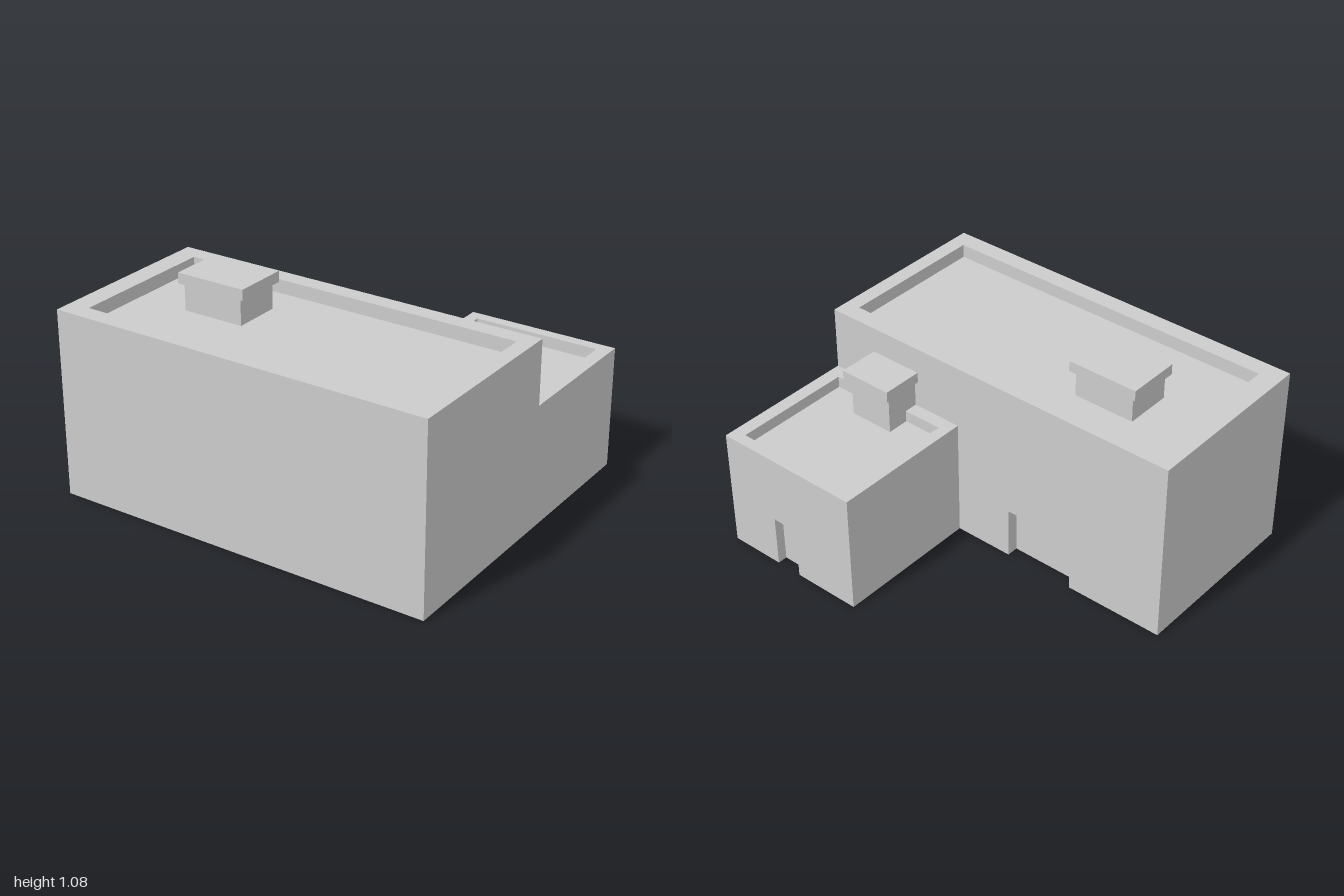
import * as THREE from 'three';

const material = new THREE.MeshStandardMaterial({ color: 0xcccccc, side: THREE.DoubleSide, flatShading: true });

// For each facing: the world axes an outline is drawn in, and how it is turned into place.
const FACINGS = {
  '+z': { flipU: 1, flipV: 1, turn: (g, d) => g.translate(0, 0, d) },
  '-z': { flipU: -1, flipV: 1, turn: (g, d) => g.rotateY(Math.PI).translate(0, 0, d) },
  '+x': { flipU: -1, flipV: 1, turn: (g, d) => g.rotateY(Math.PI / 2).translate(d, 0, 0) },
  '-x': { flipU: 1, flipV: 1, turn: (g, d) => g.rotateY(-Math.PI / 2).translate(d, 0, 0) },
  '+y': { flipU: 1, flipV: -1, turn: (g, d) => g.rotateX(-Math.PI / 2).translate(0, d, 0) },
  '-y': { flipU: 1, flipV: 1, turn: (g, d) => g.rotateX(Math.PI / 2).translate(0, d, 0) },
};

// Flat sheet; outline in world (x,y), (z,y) or (x,z) depending on the facing.
function sheet(parent, name, facing, d, outline, hole) {
  const f = FACINGS[facing];
  const pts = (list) => list.map(([u, v]) => new THREE.Vector2(u * f.flipU, v * f.flipV));
  const shape = new THREE.Shape(pts(outline));
  if (hole) shape.holes.push(new THREE.Path(pts(hole)));
  const mesh = new THREE.Mesh(f.turn(new THREE.ShapeGeometry(shape), d), material);
  mesh.name = name;
  parent.add(mesh);
}

const rect = (u0, u1, v0, v1) => [[u0, v0], [u1, v0], [u1, v1], [u0, v1]];

function block(parent, name, x0, x1, y0, y1, z0, z1) {
  const mesh = new THREE.Mesh(new THREE.BoxGeometry(x1 - x0, y1 - y0, z1 - z0), material);
  mesh.position.set((x0 + x1) / 2, (y0 + y1) / 2, (z0 + z1) / 2);
  mesh.name = name;
  parent.add(mesh);
}

// Parapet rim around a sunken roof deck
function sunkenRoof(name, outer, inner, top, deck) {
  const g = new THREE.Group();
  g.name = name;
  const [x0, x1, z0, z1] = inner;
  sheet(g, 'parapetTop', '+y', top, rect(...outer), rect(...inner));
  sheet(g, 'roofDeck', '+y', deck, rect(...inner));
  sheet(g, 'parapetInside', '+x', x0, rect(z0, z1, deck, top));
  sheet(g, 'parapetInside', '-x', x1, rect(z0, z1, deck, top));
  sheet(g, 'parapetInside', '+z', z0, rect(x0, x1, deck, top));
  sheet(g, 'parapetInside', '-z', z1, rect(x0, x1, deck, top));
  return g;
}

// Recessed doorway in a back wall at depth z
function doorway(name, x0, x1, height, z, depth) {
  const g = new THREE.Group();
  g.name = name;
  sheet(g, 'doorPanel', '-z', z + depth, rect(x0, x1, 0, height));
  sheet(g, 'doorJamb', '+x', x0, rect(z, z + depth, 0, height));
  sheet(g, 'doorJamb', '-x', x1, rect(z, z + depth, 0, height));
  sheet(g, 'doorLintel', '-y', height, rect(x0, x1, z, z + depth));
  return g;
}

export function createModel() {
  const model = new THREE.Group();
  model.name = 'building';

  const front = 0.86, mid = -0.1, back = -0.86; // wall planes along z
  const annexX = 0.21, mainTop = 0.96, annexTop = 0.63;
  const doorH = 0.27;
  const mainDoor = [-0.48, -0.105], annexDoor = [0.57, 0.71];

  // Outer walls, open underneath
  const walls = new THREE.Group();
  walls.name = 'walls';
  sheet(walls, 'frontWall', '+z', front, rect(-1, 1, 0, mainTop));
  sheet(walls, 'rightEndWall', '-x', -1, rect(mid, front, 0, mainTop));
  sheet(walls, 'leftEndWall', '+x', 1, [
    [front, 0], [front, mainTop], [mid, mainTop], [mid, annexTop], [back, annexTop], [back, 0],
  ]);
  sheet(walls, 'mainBackWall', '-z', mid, [
    [-1, 0], [-1, mainTop], [1, mainTop], [1, annexTop], [annexX, annexTop], [annexX, 0],
    [mainDoor[1], 0], [mainDoor[1], doorH], [mainDoor[0], doorH], [mainDoor[0], 0],
  ]);
  sheet(walls, 'annexSideWall', '-x', annexX, rect(back, mid, 0, annexTop));
  sheet(walls, 'annexBackWall', '-z', back, [
    [annexX, 0], [annexX, annexTop], [1, annexTop], [1, 0],
    [annexDoor[1], 0], [annexDoor[1], doorH], [annexDoor[0], doorH], [annexDoor[0], 0],
  ]);
  model.add(walls);

  // Doorways
  model.add(doorway('mainDoorway', ...mainDoor, doorH, mid, 0.06));
  model.add(doorway('annexDoorway', ...annexDoor, doorH, back, 0.05));

  // Roofs
  model.add(sunkenRoof('mainRoof', [-1, 1, mid, front], [-0.89, 0.92, -0.01, 0.765], mainTop, 0.89));
  model.add(sunkenRoof('annexRoof', [annexX, 1, back, mid], [0.27, 0.93, -0.8, -0.17], annexTop, 0.57));

  // Capped roof vents
  block(model, 'mainVentBody', -0.61, -0.285, 0.89, 1.025, 0.165, 0.41);
  block(model, 'mainVentCap', -0.635, -0.26, 1.025, 1.08, 0.145, 0.425);
  block(model, 'annexVentBody', 0.48, 0.72, 0.57, 0.77, -0.285, mid);
  block(model, 'annexVentCap', 0.46, 0.745, 0.77, 0.825, -0.315, mid);

  return model;
}
